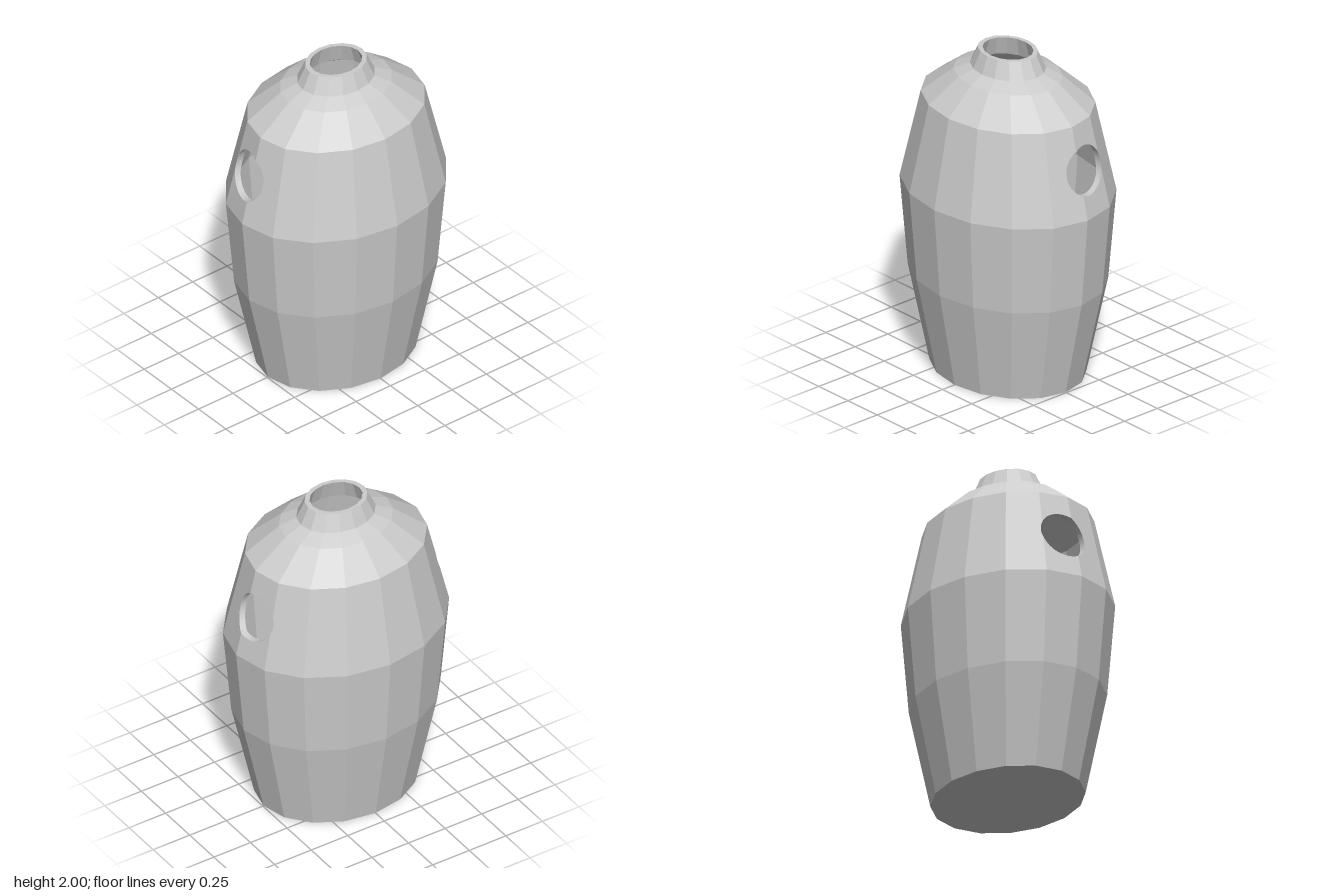
import * as THREE from 'three';

const SIDES = 16, DEPTH = 0.825;              // oval, sixteen-sided plan
const HOLE = { z: -0.06, y: 1.425, r: 0.143 }; // grip hole through each side
const HOLED_ROW = 2;                           // profile row that carries the holes

// [radius along x, height], from bottom to top
const OUTER = [[0.495, 0], [0.632, 0.6], [0.683, 1.155], [0.55, 1.7], [0.345, 1.855], [0.24, 1.898], [0.19, 2]];
const INNER = [[0.46, 0.04], [0.592, 0.6], [0.643, 1.155], [0.513, 1.685], [0.32, 1.825], [0.2, 1.88], [0.16, 2]];

const lerp = THREE.MathUtils.lerp;
const corner = i => [Math.cos(i * 2 * Math.PI / SIDES), DEPTH * Math.sin(i * 2 * Math.PI / SIDES)];

// Unit plan position at u, counted in corners and straight between them
function plan(u) {
  const i = Math.floor(u), f = u - i, a = corner(i), b = corner(i + 1);
  return [lerp(a[0], b[0], f), lerp(a[1], b[1], f)];
}

const point = (u, r, y) => { const [x, z] = plan(u); return [x * r, y, z * r]; };

// Plan coordinate u on the +x side for a given z on a ring of radius r
function uAt(z, r) {
  const s = z / r;
  let i = -4;
  while (i < 3 && corner(i + 1)[1] < s) i++;
  const a = corner(i)[1], b = corner(i + 1)[1];
  return i + (s - a) / (b - a);
}

// Circle outline lying on the faceted wall between two profile rows
function holeOutline([r0, y0], [r1, y1], count) {
  return Array.from({ length: count + 1 }, (_, k) => {
    const a = k / count * Math.PI * 2;
    const y = HOLE.y + HOLE.r * Math.sin(a);
    const r = lerp(r0, r1, (y - y0) / (y1 - y0));
    const u = uAt(HOLE.z + HOLE.r * Math.cos(a), r);
    return { u, p: point(u, r, y) };
  });
}

// Collects quads on the +x half and mirrors each to the -x half
function quadMesh(name, quads, material, flip = false, halves = [1, -1]) {
  const pos = [];
  for (const sx of halves) {
    for (const [a, b, c, d] of quads) {
      const order = (sx < 0) !== flip ? [a, c, b, a, d, c] : [a, b, c, a, c, d];
      for (const p of order) pos.push(p[0] * sx, p[1], p[2]);
    }
  }
  const g = new THREE.BufferGeometry();
  g.setAttribute('position', new THREE.Float32BufferAttribute(pos, 3));
  g.computeVertexNormals();
  const mesh = new THREE.Mesh(g, material);
  mesh.name = name;
  return mesh;
}

// Plain band of flat panels between two rows
function band([r0, y0], [r1, y1], us = [-4, -3, -2, -1, 0, 1, 2, 3, 4]) {
  return us.slice(1).map((u, k) => [
    point(us[k], r0, y0), point(us[k], r1, y1), point(u, r1, y1), point(u, r0, y0)]);
}

// Band cut by the round hole, sliced into columns above and below it
function holedBand(low, high) {
  const [r0, y0] = low, [r1, y1] = high;
  const us = holeOutline(low, high, 720).map(o => o.u);
  const uMin = Math.min(...us), uMax = Math.max(...us);
  const columns = [-4, -3, -2, -1, 0, 1, 2, 3, 4];
  for (let k = 0; k <= 28; k++) {
    columns.push((uMin + uMax) / 2 - (uMax - uMin) / 2 * Math.cos(k / 28 * Math.PI));
  }
  columns.sort((a, b) => a - b);

  const at = (u, t) => point(u, lerp(r0, r1, t), lerp(y0, y1, t));
  // Where a column enters and leaves the circle
  const cut = u => {
    const w = plan(u)[1], dz = w * (r1 - r0), dy = y1 - y0;
    const ez = w * r0 - HOLE.z, ey = y0 - HOLE.y;
    const A = dz * dz + dy * dy, B = ez * dz + ey * dy, C = ez * ez + ey * ey - HOLE.r ** 2;
    const root = Math.sqrt(Math.max(0, B * B - A * C));
    return [(-B - root) / A, (-B + root) / A];
  };

  const quads = [];
  for (let k = 1; k < columns.length; k++) {
    const a = columns[k - 1], b = columns[k], mid = (a + b) / 2;
    if (b - a < 1e-6) continue;
    if (mid < uMin || mid > uMax) {
      quads.push(...band(low, high, [a, b]));
      continue;
    }
    const [a0, a1] = cut(a), [b0, b1] = cut(b);
    quads.push([at(a, 0), at(a, a0), at(b, b0), at(b, 0)]);
    quads.push([at(a, a1), at(a, 1), at(b, 1), at(b, b1)]);
  }
  return quads;
}

function wall(profile, from, to) {
  const quads = [];
  for (let k = from; k < to; k++) {
    quads.push(...(k === HOLED_ROW ? holedBand : band)(profile[k], profile[k + 1]));
  }
  return quads;
}

function disc(name, [r, y], up, material) {
  const g = new THREE.CircleGeometry(r, SIDES);
  g.rotateX(up ? -Math.PI / 2 : Math.PI / 2);
  g.scale(1, 1, DEPTH);
  const mesh = new THREE.Mesh(g, material);
  mesh.name = name;
  mesh.position.y = y;
  return mesh;
}

export function createModel() {
  const clay = new THREE.MeshStandardMaterial({ color: 0xcccccc, flatShading: true });
  const group = new THREE.Group();
  group.name = 'vessel';

  // Outside: body, shoulder, neck, rim and base
  group.add(quadMesh('body', wall(OUTER, 0, 3), clay));
  group.add(quadMesh('shoulder', wall(OUTER, 3, 5), clay));
  group.add(quadMesh('neck', wall(OUTER, 5, 6), clay));
  group.add(quadMesh('rim', band(OUTER[6], INNER[6]), clay));
  group.add(disc('base', OUTER[0], false, clay));

  // Hollow inside
  group.add(quadMesh('innerWall', wall(INNER, 0, 6), clay, true));
  group.add(disc('innerFloor', INNER[0], true, clay));

  // Wall thickness showing around each side hole
  const outer = holeOutline(OUTER[HOLED_ROW], OUTER[HOLED_ROW + 1], 48);
  const inner = holeOutline(INNER[HOLED_ROW], INNER[HOLED_ROW + 1], 48);
  const edge = outer.slice(1).map((o, k) => [outer[k].p, inner[k].p, inner[k + 1].p, o.p]);
  group.add(quadMesh('leftHoleEdge', edge, clay, false, [1]));
  group.add(quadMesh('rightHoleEdge', edge, clay, false, [-1]));

  return group;
}
